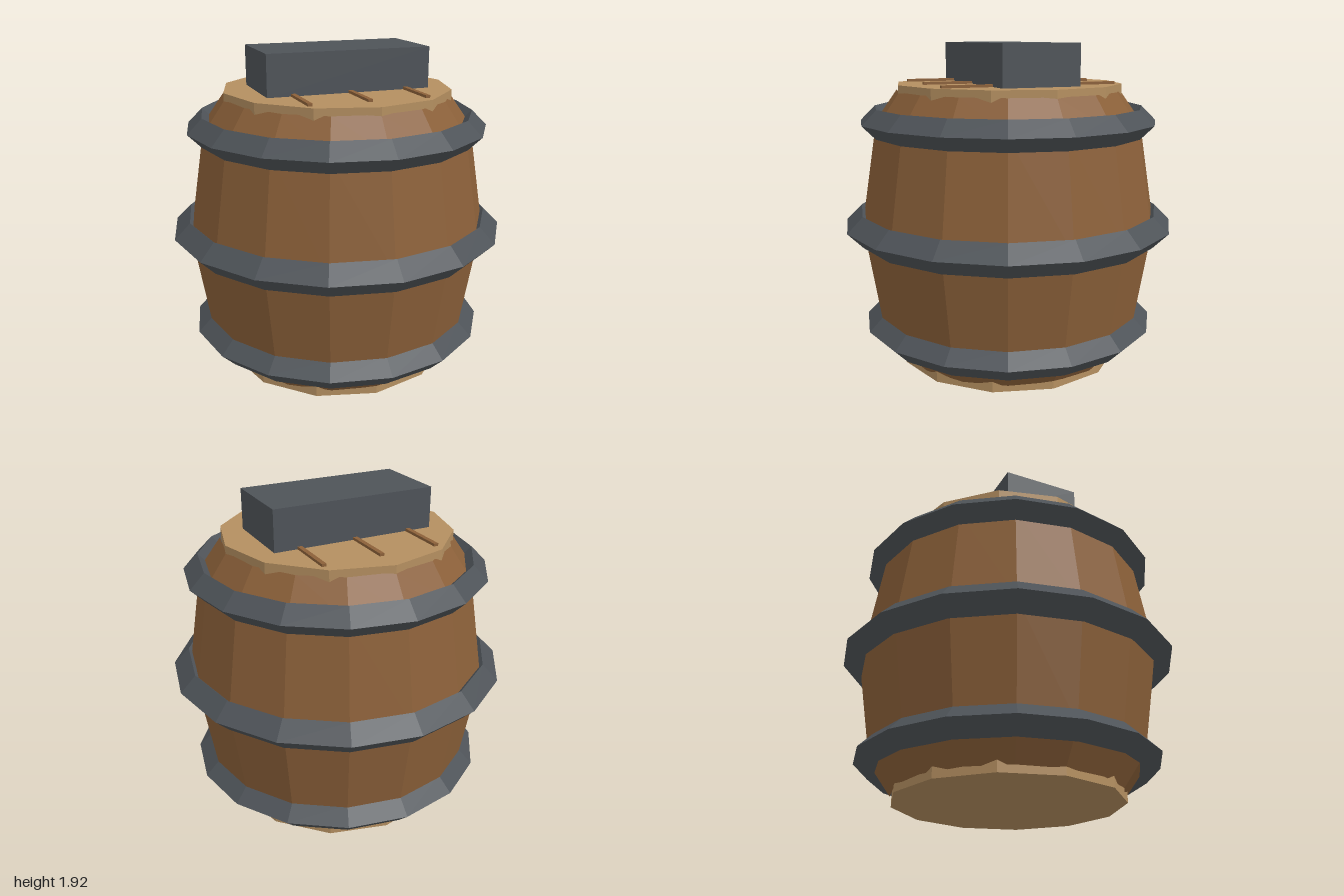
import * as THREE from 'three';

export function createModel() {
  const model = new THREE.Group();
  model.name = 'barrel';

  const material = (name, color) => {
    const m = new THREE.MeshStandardMaterial({ color });
    m.name = name;
    m.flatShading = true;
    return m;
  };
  const wood = material('stave wood', 0x8b6039);
  const paleWood = material('pale lid wood', 0xb48f60);
  const iron = material('dark iron', 0x4e5358);

  const add = (name, geometry, mat, x, y, z) => {
    const mesh = new THREE.Mesh(geometry, mat);
    mesh.name = name;
    mesh.position.set(x, y, z);
    model.add(mesh);
    return mesh;
  };

  // Bulging sixteen-sided wall, open at both ends
  const profile = [[0.67, 0.04], [0.8, 0.225], [0.9, 0.84], [0.8, 1.455], [0.67, 1.64]];
  const points = profile.map(([r, y]) => new THREE.Vector2(r, y));
  add('staves', new THREE.LatheGeometry(points, 16), wood, 0, 0, 0);

  // Diamond-section hoops
  const hoops = [['lowerHoop', 0.805, 0.0875, 0.225], ['middleHoop', 0.907, 0.093, 0.84], ['upperHoop', 0.805, 0.0875, 1.457]];
  for (const [name, radius, tube, y] of hoops) {
    const hoop = new THREE.TorusGeometry(radius, tube, 4, 16).rotateX(Math.PI / 2);
    add(name, hoop, iron, 0, y, 0);
  }

  // Twelve-sided end discs
  const disc = new THREE.CylinderGeometry(0.675, 0.675, 0.08, 12);
  add('base', disc, paleWood, 0, 0.04, 0);
  add('lid', disc, paleWood, 0, 1.64, 0);

  // Narrow strips across the lid
  for (const x of [-0.337, 0, 0.337]) {
    add('lidStrip', new THREE.BoxGeometry(0.026, 0.03, 1.055), wood, x, 1.68, 0);
  }

  // Heavy block on top
  add('topBlock', new THREE.BoxGeometry(0.97, 0.24, 0.465), iron, 0, 1.797, 0);

  return model;
}
